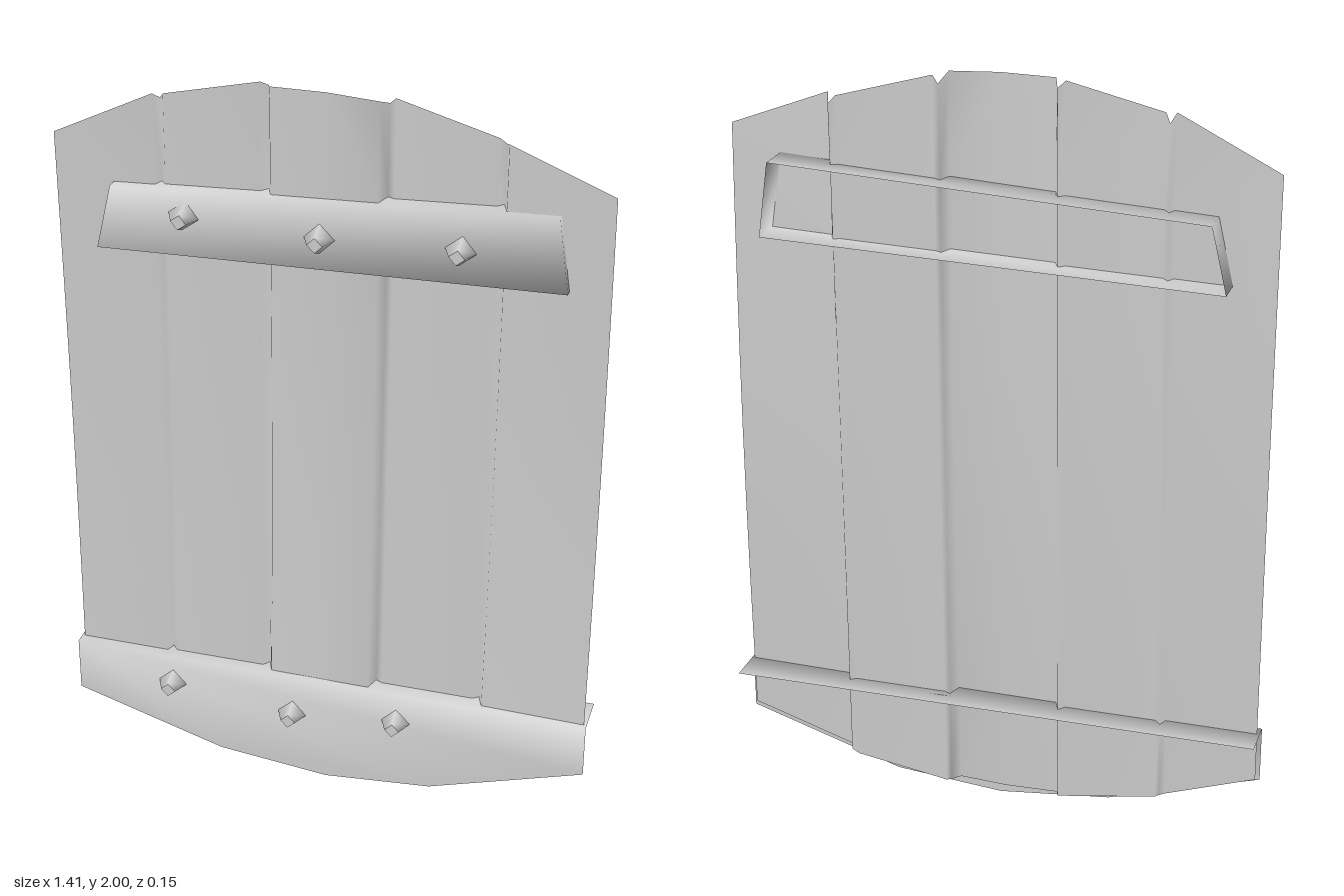
import * as THREE from 'three';

const mat = new THREE.MeshStandardMaterial({ color: 0xcccccc, side: THREE.DoubleSide });

function build(name, positions, index) {
  const geo = new THREE.BufferGeometry();
  geo.setAttribute('position', new THREE.Float32BufferAttribute(positions, 3));
  geo.setIndex(index);
  geo.computeVertexNormals();
  const mesh = new THREE.Mesh(geo, mat);
  mesh.name = name;
  return mesh;
}

// Flat front plate (counter-clockwise outline) with walls folded back on chosen edges
function strap(name, outline, wallEdges, front = 0.034, back = -0.077) {
  const n = outline.length;
  const pos = [];
  for (const z of [front, back]) for (const [x, y] of outline) pos.push(x, y, z);
  const pts = outline.map(([x, y]) => new THREE.Vector2(x, y));
  const index = THREE.ShapeUtils.triangulateShape(pts, []).flat();
  for (const i of wallEdges) {
    const j = (i + 1) % n;
    index.push(i, i + n, j, j, i + n, j + n);
  }
  return build(name, pos, index);
}

// Columns across the boards: [x, top y, bottom y, z]; the low-z columns are grooves
const columns = [
  [-0.70, 1.81, 0.175, 0.006],
  [-0.44, 1.94, 0.09, 0.008], [-0.43, 1.92, 0.10, -0.02], [-0.415, 1.94, 0.08, 0.001],
  [-0.17, 1.998, 0.04, 0.001], [-0.155, 1.984, 0.05, -0.02], [-0.14, 1.998, 0.035, 0.023],
  [0.0, 2.0, 0.03, 0.025],
  [0.13, 1.993, 0.035, 0.027], [0.143, 1.972, 0.05, -0.02], [0.16, 1.99, 0.04, -0.01],
  [0.41, 1.92, 0.08, -0.01], [0.425, 1.902, 0.10, -0.024], [0.44, 1.92, 0.09, 0.02],
  [0.70, 1.82, 0.175, 0.026],
];

// Five boards as one grooved sheet, bowed slightly backwards at mid height
function makeBoards() {
  const rows = 8, w = columns.length, pos = [], index = [];
  for (let r = 0; r <= rows; r++) {
    const t = r / rows, bow = Math.sin(Math.PI * t);
    columns.forEach(([x, top, bottom, z], c) => {
      const inner = c > 0 && c < w - 1;
      const lean = inner ? -0.02 * (1 - t) : 0;
      pos.push(x + lean, bottom + (top - bottom) * t, z * (1 - 0.4 * bow) - 0.007 * bow);
      if (r < rows && c < w - 1) {
        const a = r * w + c;
        index.push(a, a + 1, a + w, a + 1, a + w + 1, a + w);
      }
    });
  }
  return build('boards', pos, index);
}

// Four-sided tapered stud standing on a strap
function makeStud(x, y, turn) {
  const geo = new THREE.CylinderGeometry(0.02, 0.041, 0.046, 4);
  geo.rotateX(Math.PI / 2);
  geo.rotateZ(turn);
  const stud = new THREE.Mesh(geo, mat);
  stud.name = 'stud';
  stud.position.set(x, y, 0.053);
  return stud;
}

export function createModel() {
  const model = new THREE.Group();
  model.name = 'woodenShield';
  model.add(makeBoards());

  // Slanted upper brace, open at the back
  model.add(strap('upperBrace',
    [[-0.59, 1.525], [0.597, 1.56], [0.57, 1.755], [-0.55, 1.695]], [0, 1, 2, 3]));

  // Lower plate following the rounded foot, with a flange along its top edge
  model.add(strap('lowerPlate',
    [[-0.707, 0.312], [-0.707, 0.16], [-0.3, 0.035], [0, 0.003], [0.29, 0.028],
      [0.707, 0.16], [0.707, 0.312]], [6]));

  const studs = new THREE.Group();
  studs.name = 'studs';
  [[-0.36, 1.64, -0.15], [-0.015, 1.625, 0], [0.335, 1.64, -0.1],
    [-0.435, 0.23, -0.05], [-0.095, 0.195, -0.05], [0.195, 0.225, 0]]
    .forEach(([x, y, turn]) => studs.add(makeStud(x, y, turn)));
  model.add(studs);
  return model;
}
